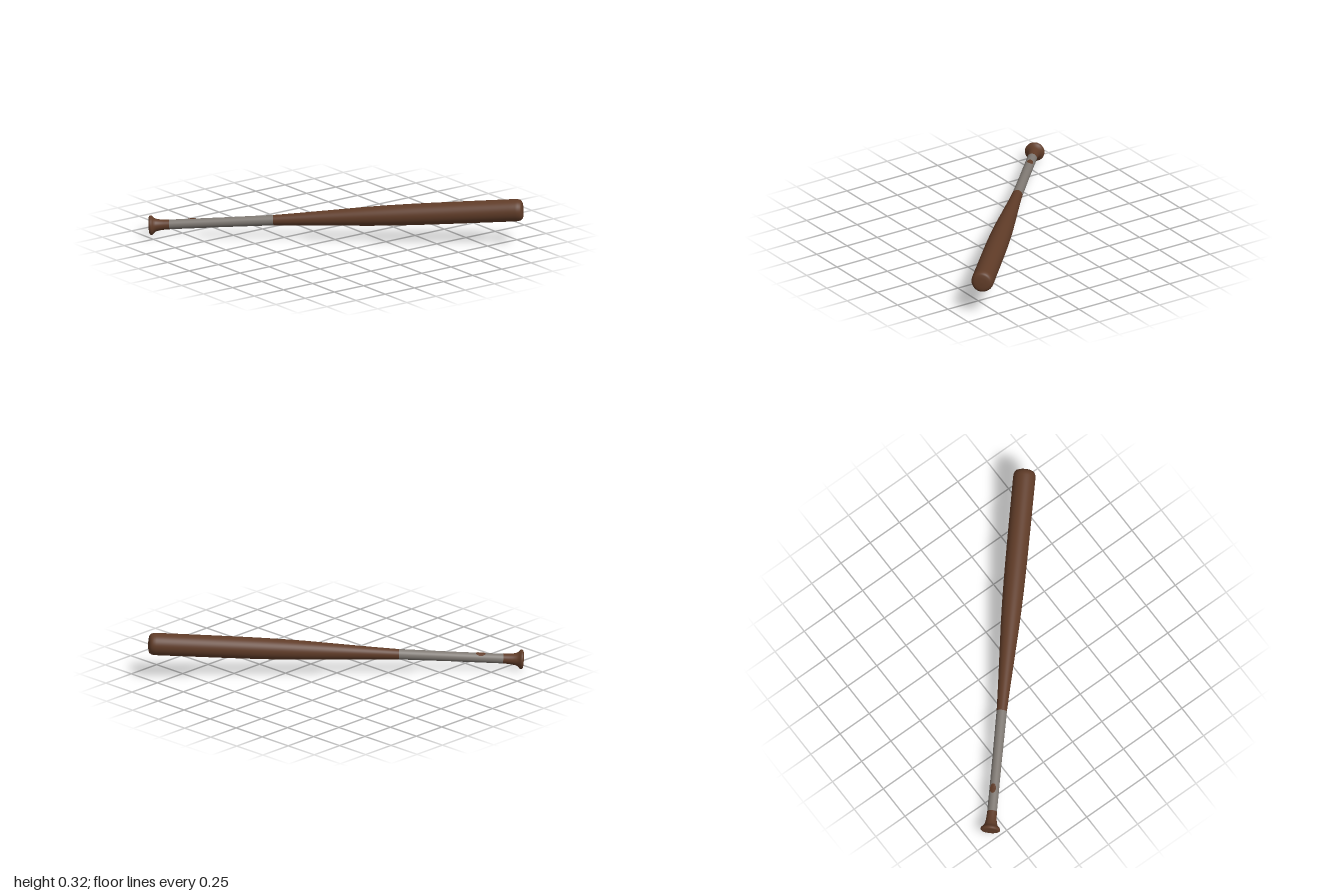
import * as THREE from 'three';

const SEGMENTS = 48;

export function createModel() {
  const wood = new THREE.MeshStandardMaterial({ color: 0x603c28 });
  wood.name = 'brown wood';
  const tape = new THREE.MeshStandardMaterial({ color: 0x807a74 });
  tape.name = 'grey grip';

  const bat = new THREE.Group();
  bat.name = 'bat';

  // Turned part from [radius, distance along the bat] pairs
  const turn = (name, pairs, material) => {
    const points = pairs.map(([r, t]) => new THREE.Vector2(r, t));
    const mesh = new THREE.Mesh(new THREE.LatheGeometry(points, SEGMENTS), material);
    mesh.name = name;
    bat.add(mesh);
  };

  // Knob: flat face, rounded rim, concave flare down to the neck
  turn('knob', [
    [0, 0], [0.052, 0], [0.06, 0.001], [0.066, 0.006], [0.068, 0.013], [0.066, 0.02],
    [0.059, 0.027], [0.05, 0.036], [0.043, 0.05], [0.038, 0.075], [0.035, 0.105], [0.033, 0.145],
  ], wood);

  // Wrapped handle
  turn('grip', [[0.033, 0.14], [0.0335, 0.14], [0.0335, 0.5], [0.036, 0.86], [0.035, 0.86]], tape);

  // Barrel: a smooth swell, then a rounded end
  const swell = new THREE.SplineCurve([
    [0.0355, 0.855], [0.042, 1.02], [0.0545, 1.28], [0.067, 1.55], [0.0735, 1.82],
    [0.076, 2.15], [0.077, 2.54],
  ].map(([r, t]) => new THREE.Vector2(r, t))).getPoints(36).map((p) => [p.x, p.y]);
  turn('barrel', [
    ...swell, [0.0755, 2.557], [0.071, 2.571], [0.063, 2.581], [0.052, 2.586], [0.03, 2.589], [0, 2.59],
  ], wood);

  // Small bare spot on top of the grip: a disc wrapped round the handle
  const spot = new THREE.CircleGeometry(1, 24);
  const pos = spot.attributes.position;
  for (let i = 0; i < pos.count; i++) {
    const angle = -0.28 + pos.getX(i) * 0.62;
    const r = 0.0365;
    pos.setXYZ(i, r * Math.sin(angle), 0.297 + pos.getY(i) * 0.034, r * Math.cos(angle));
  }
  spot.computeVertexNormals();
  const spotMesh = new THREE.Mesh(spot, wood);
  spotMesh.name = 'gripSpot';
  bat.add(spotMesh);

  // Lay the bat along its diagonal, local z towards the sky
  const start = new THREE.Vector3(-0.955, 0.07, -0.858);
  const along = new THREE.Vector3(0.95, 0.25, 0.85).sub(start).normalize();
  const side = new THREE.Vector3().crossVectors(along, new THREE.Vector3(0, 1, 0)).normalize();
  const up = new THREE.Vector3().crossVectors(side, along);
  bat.quaternion.setFromRotationMatrix(new THREE.Matrix4().makeBasis(side, along, up));
  bat.position.copy(start);

  const model = new THREE.Group();
  model.name = 'model';
  model.add(bat);
  return model;
}
